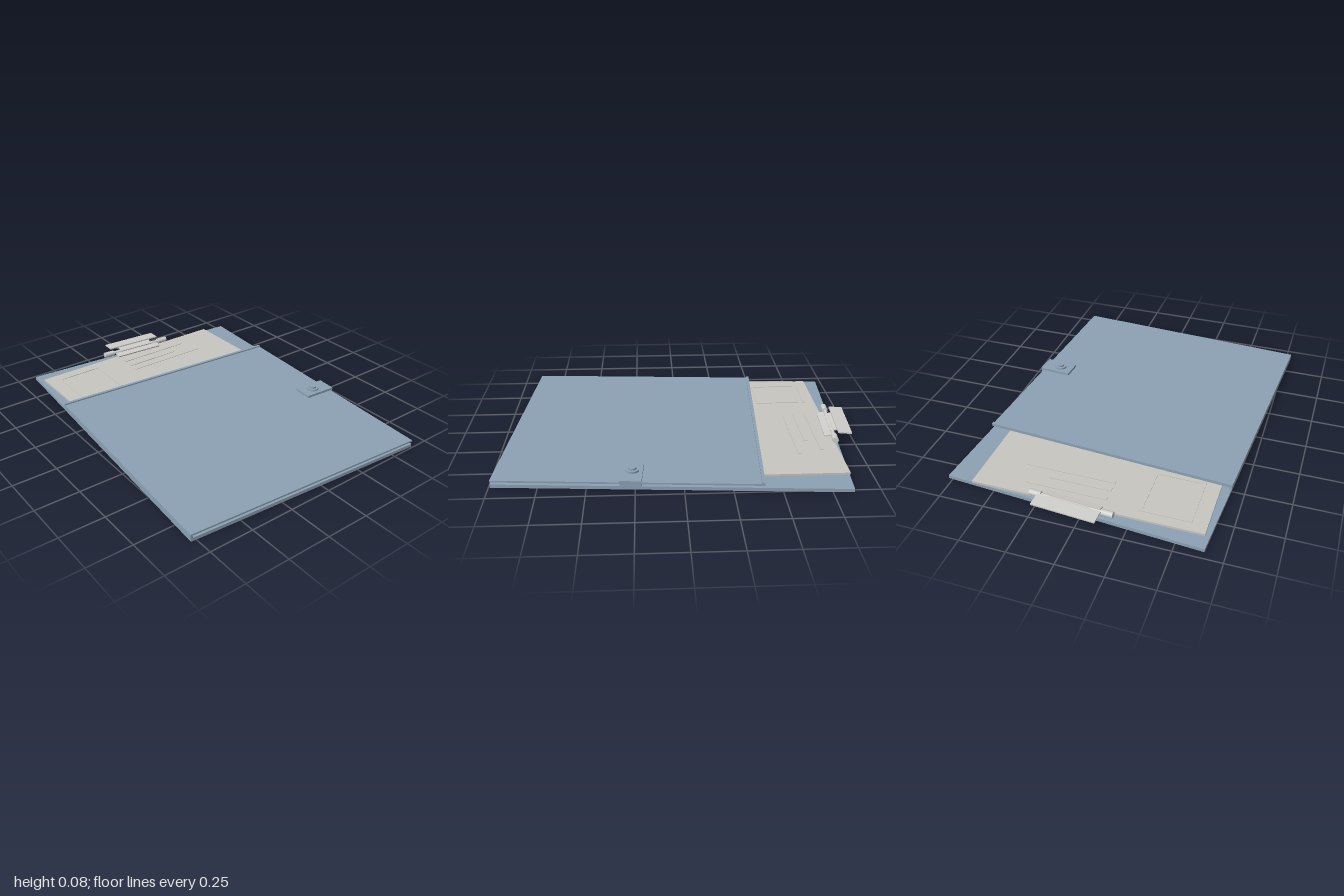
import * as THREE from 'three';

export function createModel() {
  const root = new THREE.Group();
  const mat = (name, color) => {
    const m = new THREE.MeshStandardMaterial({ color });
    m.name = name;
    return m;
  };
  const blue = mat('coverBlue', 0x8ca2b5);
  const paper = mat('paperGrey', 0xc9c6c0);
  const metal = mat('clipMetal', 0xcfcecb);

  // The folder and its clip lie slightly turned, the paper lies straight
  const folder = new THREE.Group();
  folder.name = 'folder';
  folder.position.set(-0.003, 0, 0.017);
  folder.rotation.y = -0.07;
  const sheets = new THREE.Group();
  sheets.name = 'sheets';
  root.add(folder, sheets);

  // Box given by its limits on each axis
  const box = (parent, name, m, [x0, x1], [y0, y1], [z0, z1]) => {
    const mesh = new THREE.Mesh(new THREE.BoxGeometry(x1 - x0, y1 - y0, z1 - z0), m);
    mesh.position.set((x0 + x1) / 2, (y0 + y1) / 2, (z0 + z1) / 2);
    mesh.name = name;
    parent.add(mesh);
    return mesh;
  };
  const cylinder = (parent, name, m, r, h, x, y, z, sides = 20) => {
    const mesh = new THREE.Mesh(new THREE.CylinderGeometry(r, r, h, sides), m);
    mesh.position.set(x, y, z);
    mesh.name = name;
    parent.add(mesh);
    return mesh;
  };

  // Back board, spine and shorter front cover with a raised rim
  box(folder, 'backBoard', blue, [-0.713, 0.713], [0, 0.019], [-0.928, 0.928]);
  box(folder, 'spine', blue, [-0.715, -0.703], [0.019, 0.032], [-0.476, 0.928]);
  box(folder, 'frontCover', blue, [-0.715, 0.715], [0.032, 0.042], [-0.476, 0.928]);
  box(folder, 'coverRim', blue, [-0.716, 0.716], [0.04, 0.05], [-0.476, -0.459]);

  // Clasp wrapped round the open edge, with a stepped button
  box(folder, 'claspTop', blue, [0.538, 0.728], [0.042, 0.057], [0.15, 0.262]);
  box(folder, 'claspSide', blue, [0.715, 0.728], [0.021, 0.042], [0.15, 0.262]);
  box(folder, 'claspLug', blue, [0.6, 0.715], [0.022, 0.03], [0.15, 0.262]);
  cylinder(folder, 'buttonBase', blue, 0.036, 0.01, 0.617, 0.062, 0.205);
  cylinder(folder, 'buttonCap', blue, 0.021, 0.011, 0.617, 0.0725, 0.205);

  // Sheet stack
  box(sheets, 'paperStack', paper, [-0.63, 0.627], [0.019, 0.031], [-0.873, 0.82]);

  // Printed photo frame and text bars, slightly raised
  const ink = [0.031, 0.034];
  for (const [x0, x1, z0, z1] of [
    [-0.55, -0.275, -0.817, -0.803], [-0.55, -0.275, -0.522, -0.508],
    [-0.55, -0.536, -0.803, -0.522], [-0.289, -0.275, -0.803, -0.522],
  ]) box(sheets, 'photoFrame', paper, [x0, x1], ink, [z0, z1]);
  for (const [x1, z] of [[0.36, -0.783], [0.25, -0.713], [0.405, -0.65]]) {
    box(sheets, 'textBar', paper, [-0.095, x1], ink, [z - 0.012, z + 0.012]);
  }

  // Clip: rod with end sleeves, jaw pressing the paper, riser and thumb tab
  const clip = new THREE.Group();
  clip.name = 'clip';
  folder.add(clip);
  cylinder(clip, 'rod', metal, 0.01, 0.44, 0, 0.05, -0.908).rotation.z = Math.PI / 2;
  for (const s of [-1, 1]) {
    cylinder(clip, 'rodSleeve', metal, 0.017, 0.065, s * 0.2, 0.05, -0.908).rotation.z = Math.PI / 2;
  }
  box(clip, 'mount', metal, [-0.14, 0.14], [0.019, 0.042], [-0.922, -0.9]);
  box(clip, 'jaw', metal, [-0.155, 0.155], [0.038, 0.046], [-0.903, -0.857]).rotation.x = 0.2;
  box(clip, 'riser', metal, [-0.115, 0.115], [0.054, 0.062], [-0.95, -0.895]).rotation.x = 0.25;
  box(clip, 'thumbTab', metal, [-0.176, 0.176], [0.065, 0.073], [-1.008, -0.93]).rotation.x = -0.06;

  return root;
}
